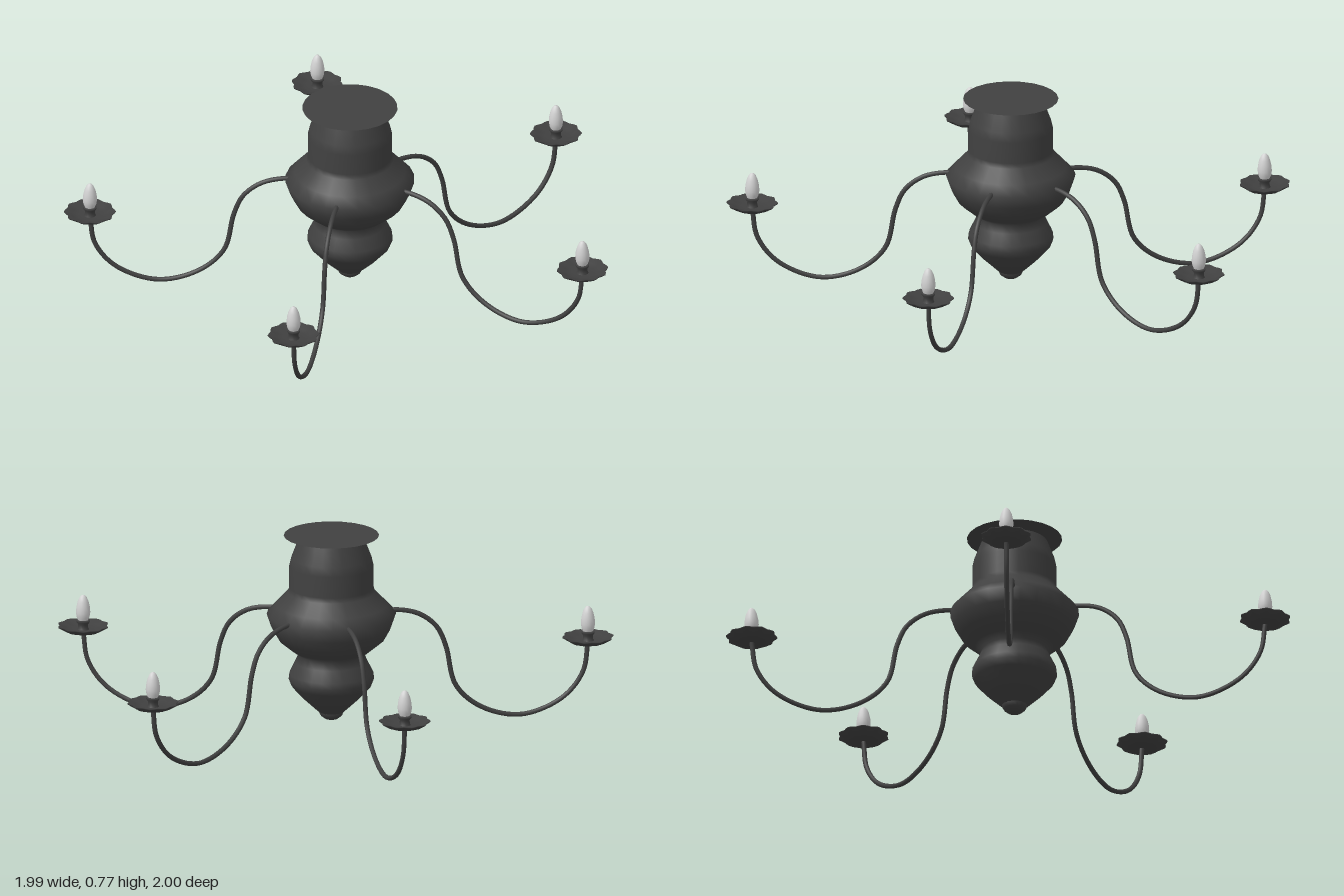
import * as THREE from 'three';

const iron = new THREE.MeshStandardMaterial({ color: 0x404040, name: 'dark iron', side: THREE.DoubleSide });
const glass = new THREE.MeshStandardMaterial({ color: 0xd2d2d2, name: 'pale bulb' });

function lathe(name, profile, segments, material) {
  const points = profile.map(([r, y]) => new THREE.Vector2(r, y));
  const mesh = new THREE.Mesh(new THREE.LatheGeometry(points, segments), material);
  mesh.name = name;
  return mesh;
}

// Drip dish: a shallow closed lathe whose rim is pushed in and out into lobes
function makeDish() {
  const dish = lathe('dripDish', [
    [0, 0.285], [0.045, 0.285], [0.07, 0.29], [0.1, 0.308], [0.1, 0.312], [0.07, 0.3], [0.045, 0.295], [0, 0.295],
  ], 40, iron);
  const pos = dish.geometry.attributes.position;
  for (let i = 0; i < pos.count; i++) {
    const x = pos.getX(i), z = pos.getZ(i), r = Math.hypot(x, z);
    if (r < 0.06) continue;
    const k = 1 - 0.06 * ((r - 0.045) / 0.055) * (1 - Math.cos(10 * Math.atan2(z, x))) / 1.2;
    pos.setX(i, x * k);
    pos.setZ(i, z * k);
  }
  dish.geometry.computeVertexNormals();
  return dish;
}

// Curved arm along local +x, carrying a dish, a socket and a candle bulb
function makeArm(reach) {
  const arm = new THREE.Group();
  arm.name = 'arm';
  const path = new THREE.CatmullRomCurve3([
    [0.19, 0.45], [0.25, 0.455], [0.34, 0.435], [0.41, 0.38], [0.446, 0.3], [0.485, 0.14], [0.585, 0.048],
    [0.74, 0.01], [0.9, 0.07], [0.98, 0.17], [1, 0.29],
  ].map(([r, y]) => new THREE.Vector3(r * reach, y, 0)));
  const tube = new THREE.Mesh(new THREE.TubeGeometry(path, 56, 0.0095, 8), iron);
  tube.name = 'armTube';

  const candle = new THREE.Group();
  candle.name = 'candle';
  candle.position.x = reach;
  candle.add(
    makeDish(),
    lathe('socket', [[0.03, 0.285], [0.02, 0.3], [0.019, 0.315], [0.026, 0.325], [0.026, 0.333], [0, 0.333]], 16, iron),
    lathe('bulb', [
      [0.019, 0.33], [0.025, 0.345], [0.028, 0.363], [0.026, 0.385], [0.021, 0.407], [0.014, 0.423], [0.007, 0.431], [0, 0.433],
    ], 16, glass),
  );
  arm.add(tube, candle);
  return arm;
}

export function createModel() {
  const model = new THREE.Group();
  model.name = 'chandelier';
  const hub = new THREE.Group();
  hub.name = 'hub';
  hub.position.set(-0.021, 0, 0.1);
  model.add(hub);

  // Turned central body
  hub.add(lathe('body', [
    [0.045, 0.055], [0.06, 0.068], [0.11, 0.115], [0.155, 0.165], [0.165, 0.19], [0.162, 0.215], [0.14, 0.26],
    [0.126, 0.29], [0.155, 0.31], [0.205, 0.352], [0.232, 0.4], [0.25, 0.452], [0.215, 0.49],
    [0.168, 0.54], [0.163, 0.56], [0.163, 0.645], [0.155, 0.68], [0.13, 0.745], [0.125, 0.757],
  ], 24, iron));

  // Small knob under the body
  hub.add(lathe('finial', [[0, 0.026], [0.025, 0.03], [0.042, 0.043], [0.05, 0.06], [0.045, 0.07]], 16, iron));

  // Flared ceiling plate and its flat top
  hub.add(lathe('ceilingPlate', [[0.12, 0.75], [0.184, 0.767]], 24, iron));
  const cap = new THREE.Mesh(new THREE.CircleGeometry(0.184, 24), iron);
  cap.name = 'plateTop';
  cap.rotation.x = -Math.PI / 2;
  cap.position.y = 0.767;
  hub.add(cap);

  // Five arms, given by the offset of each candle from the hub
  [[0, -1.003], [-0.877, -0.517], [0.911, -0.43], [-0.608, 0.798], [0.64, 0.768]].forEach(([x, z]) => {
    const arm = makeArm(Math.hypot(x, z));
    arm.rotation.y = Math.atan2(-z, x);
    hub.add(arm);
  });

  return model;
}
